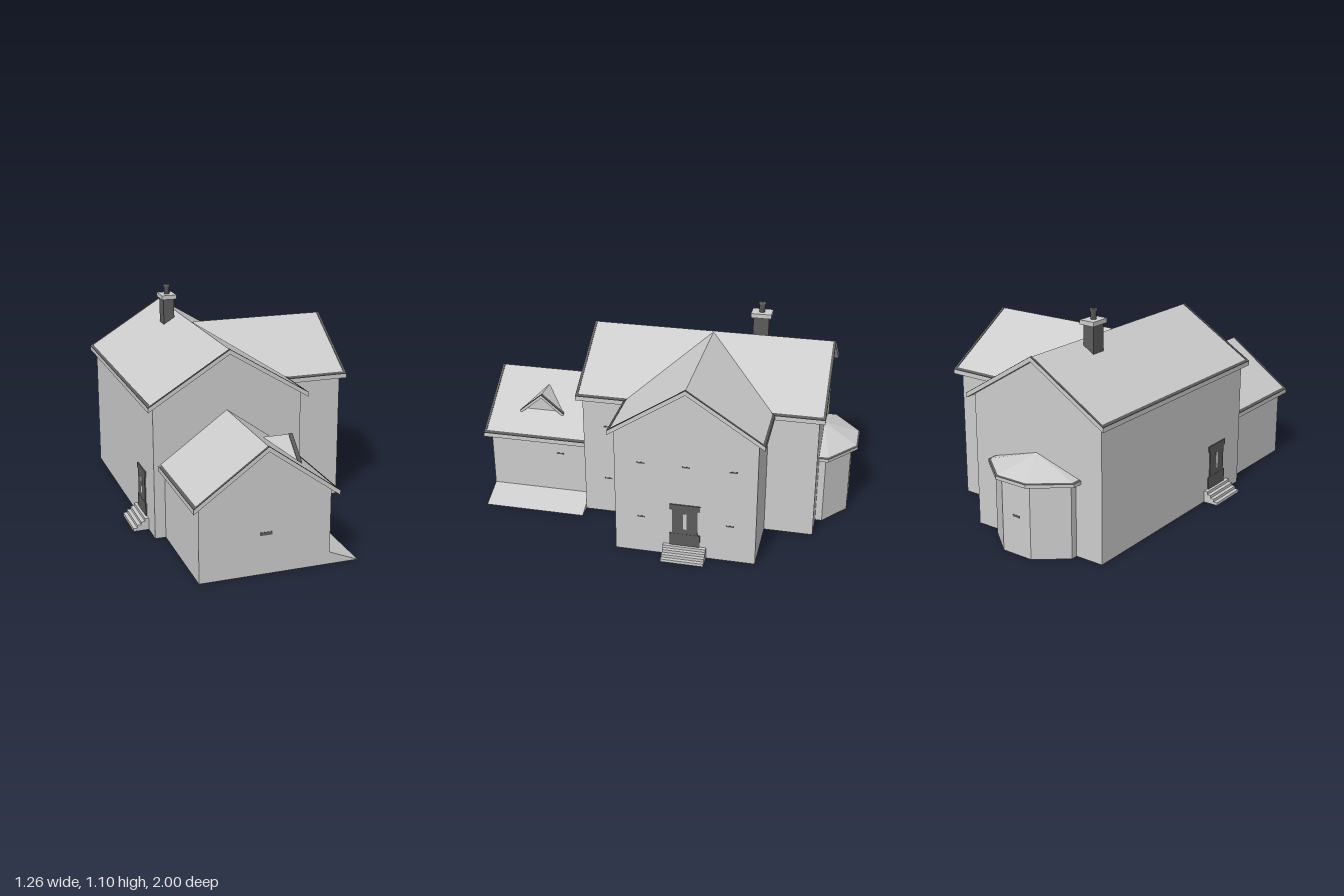
import * as THREE from 'three';

export function createModel() {
  const model = new THREE.Group();
  model.name = 'house';

  const mat = (name, color) => {
    const m = new THREE.MeshStandardMaterial({ color, side: THREE.DoubleSide });
    m.name = name;
    return m;
  };
  const light = mat('light grey', 0xcccccc);
  const dark = mat('dark grey', 0x5c5c5c);

  const add = (name, geo, material, parent = model) => {
    const mesh = new THREE.Mesh(geo, material);
    mesh.name = name;
    parent.add(mesh);
    return mesh;
  };
  const box = (name, w, h, d, x, y, z, material, parent) =>
    add(name, new THREE.BoxGeometry(w, h, d), material, parent).position.set(x, y, z);

  // Flat faces, each a convex loop of corners
  const faces = (name, loops, material, parent) => {
    const v = [];
    for (const p of loops)
      for (let i = 1; i < p.length - 1; i++) v.push(...p[0], ...p[i], ...p[i + 1]);
    const g = new THREE.BufferGeometry();
    g.setAttribute('position', new THREE.Float32BufferAttribute(v, 3));
    g.computeVertexNormals();
    return add(name, g, material, parent);
  };

  // Polygon in x,y drawn out from z0 to z1
  const prism = (name, pts, z0, z1, material, parent) => {
    const shape = new THREE.Shape(pts.map(([x, y]) => new THREE.Vector2(x, y)));
    const g = new THREE.ExtrudeGeometry(shape, { depth: z1 - z0, bevelEnabled: false });
    return add(name, g.translate(0, 0, z0), material, parent);
  };

  // Gabled roof along local z, with dark trim on its verges and eaves
  const roof = (name, { span, eave, peak, z0, z1, ends, trim = 0.013, thick = 0.022, eaves = true }) => {
    const g = new THREE.Group();
    g.name = name;
    const chevron = (lift, t) => [[-span, eave + lift], [0, peak + lift], [span, eave + lift],
      [span, eave + lift - t], [0, peak + lift - t], [-span, eave + lift - t]];
    prism(name + 'Slab', chevron(0, thick), z0, z1, light, g);
    for (const end of ends)
      prism(name + 'VergeTrim', chevron(0.003, 0.003), end > 0 ? z1 - trim : z0, end > 0 ? z1 : z0 + trim, dark, g);
    if (eaves) {
      const rise = (peak - eave) / span * trim;
      for (const s of [-1, 1])
        prism(name + 'EaveTrim', [[s * span, eave], [s * span, eave + 0.003],
          [s * (span - trim), eave + rise + 0.003], [s * (span - trim), eave + rise]],
        z0 + trim, z1 - trim, dark, g);
    }
    model.add(g);
    return g;
  };

  // Pentagonal gable end and upright wall panels
  const gable = (place, a, b, eave, peak) =>
    [place(a, 0), place(b, 0), place(b, eave), place((a + b) / 2, peak), place(a, eave)];
  const wall = (x0, z0, x1, z1, h) => [[x0, 0, z0], [x1, 0, z1], [x1, h, z1], [x0, h, z0]];
  const atZ = (z) => (u, y) => [u, y, z];
  const atX = (x) => (u, y) => [x, y, u];

  // Main block
  faces('mainWalls', [
    gable(atZ(0.42), -0.55, 0.22, 0.69, 0.925),
    gable(atZ(-0.81), 0.22, -0.55, 0.69, 0.925),
    wall(-0.55, -0.81, -0.55, 0.42, 0.69),
    wall(0.22, 0.42, 0.22, 0.165, 0.69),
    wall(0.22, -0.555, 0.22, -0.81, 0.69),
  ], light);
  roof('mainRoof', { span: 0.415, eave: 0.69, peak: 0.945, z0: -0.84, z1: 0.45, ends: [-1, 1] })
    .position.x = -0.165;

  // Cross wing
  faces('wingWalls', [
    gable(atX(0.55), 0.165, -0.555, 0.69, 0.92),
    wall(0.22, 0.165, 0.55, 0.165, 0.69),
    wall(0.55, -0.555, 0.22, -0.555, 0.69),
  ], light);
  const wingRoof = roof('wingRoof', { span: 0.39, eave: 0.688, peak: 0.942, z0: -0.15, z1: 0.58, ends: [1] });
  wingRoof.rotation.y = Math.PI / 2;
  wingRoof.position.z = -0.198;

  // Garage with side ramp
  faces('garageWalls', [
    gable(atZ(0.965), -0.495, 0.152, 0.38, 0.612),
    wall(-0.495, 0.42, -0.495, 0.965, 0.38),
    wall(0.152, 0.965, 0.152, 0.42, 0.38),
  ], light);
  roof('garageRoof', { span: 0.355, eave: 0.38, peak: 0.635, z0: 0.42, z1: 1.0, ends: [1] })
    .position.x = -0.172;
  prism('ramp', [[0.152, 0], [0.3, 0], [0.152, 0.06]], 0.42, 0.965, light);

  // Dormer on the garage roof
  const dormerRoof = roof('dormerRoof', {
    span: 0.122, eave: 0.475, peak: 0.577, z0: -0.085, z1: 0.06, ends: [1], trim: 0.02, thick: 0.016, eaves: false,
  });
  dormerRoof.rotation.y = Math.PI / 2;
  dormerRoof.position.z = 0.705;
  faces('dormerFront', [[[0.04, 0.46, 0.82], [0.04, 0.46, 0.59], [0.04, 0.565, 0.705]]], light);

  // Bay at the back
  const bay = [[0.07, -0.81], [0.07, -0.845], [-0.08, -0.965], [-0.25, -0.965], [-0.4, -0.845], [-0.4, -0.81]];
  const rim = [[0.1, -0.81], [0.1, -0.86], [-0.075, -1], [-0.255, -1], [-0.43, -0.86], [-0.43, -0.81]];
  const apex = [-0.165, 0.47, -0.81];
  const bayWalls = [], bayRoof = [], bayTrim = [];
  const outer = rim.map(([x, z]) => [x, 0.392, z]);
  const inner = outer.map((p) => p.map((c, k) => c + (apex[k] - c) * 0.05));
  for (let i = 0; i < 5; i++) {
    bayWalls.push(wall(...bay[i], ...bay[i + 1], 0.38));
    bayRoof.push([inner[i], inner[i + 1], apex]);
    bayRoof.push([[rim[i][0], 0.375, rim[i][1]], [rim[i + 1][0], 0.375, rim[i + 1][1]], outer[i + 1], outer[i]]);
    bayTrim.push([outer[i], outer[i + 1], inner[i + 1], inner[i]]);
  }
  bayRoof.push(rim.map(([x, z]) => [x, 0.375, z]).reverse());
  faces('bayWalls', bayWalls, light);
  faces('bayRoof', bayRoof, light);
  faces('bayRoofTrim', bayTrim, dark);

  // Chimney
  box('chimneyStack', 0.06, 0.21, 0.082, -0.225, 0.925, -0.443, dark);
  box('chimneyCap', 0.083, 0.023, 0.108, -0.225, 1.041, -0.443, light);
  const pot = [[0, 1.05], [0.015, 1.05], [0.015, 1.092], [0.019, 1.092], [0.019, 1.104], [0, 1.104]];
  add('chimneyPot', new THREE.LatheGeometry(pot.map(([x, y]) => new THREE.Vector2(x, y)), 16), dark)
    .position.set(-0.225, 0, -0.443);

  // Doors and their steps on both sides
  for (const [side, z] of [[1, -0.195], [-1, 0.19]]) {
    const entry = new THREE.Group();
    entry.name = side > 0 ? 'leftEntry' : 'rightEntry';
    const x = side * 0.552;
    box('door', 0.006, 0.235, 0.13, x, 0.18, z, dark, entry);
    box('doorHead', 0.008, 0.03, 0.155, x, 0.285, z, dark, entry);
    box('doorFoot', 0.008, 0.07, 0.155, x, 0.095, z, dark, entry);
    box('doorPane', 0.009, 0.09, 0.018, x, 0.205, z, light, entry);
    for (let i = 0; i < 4; i++) {
      const depth = 0.08 - i * 0.02;
      box('step', depth, 0.0155, 0.22, side * (0.55 + depth / 2), 0.00775 + i * 0.0155, z, light, entry);
    }
    model.add(entry);
  }

  // Small window slots
  for (const [x, y, z] of [[0.22, 0.515, 0.29], [0.55, 0.515, 0.03], [0.55, 0.515, -0.2], [0.55, 0.515, -0.435],
    [0.22, 0.205, 0.29], [0.55, 0.205, 0.03], [0.55, 0.205, -0.425], [0.152, 0.285, 0.58]])
    box('windowSlot', 0.004, 0.007, 0.04, x, y, z, dark);
  box('garageSlot', 0.06, 0.016, 0.004, -0.17, 0.203, 0.965, dark);
  box('baySlot', 0.04, 0.01, 0.004, -0.165, 0.2, -0.965, dark);

  return model;
}
